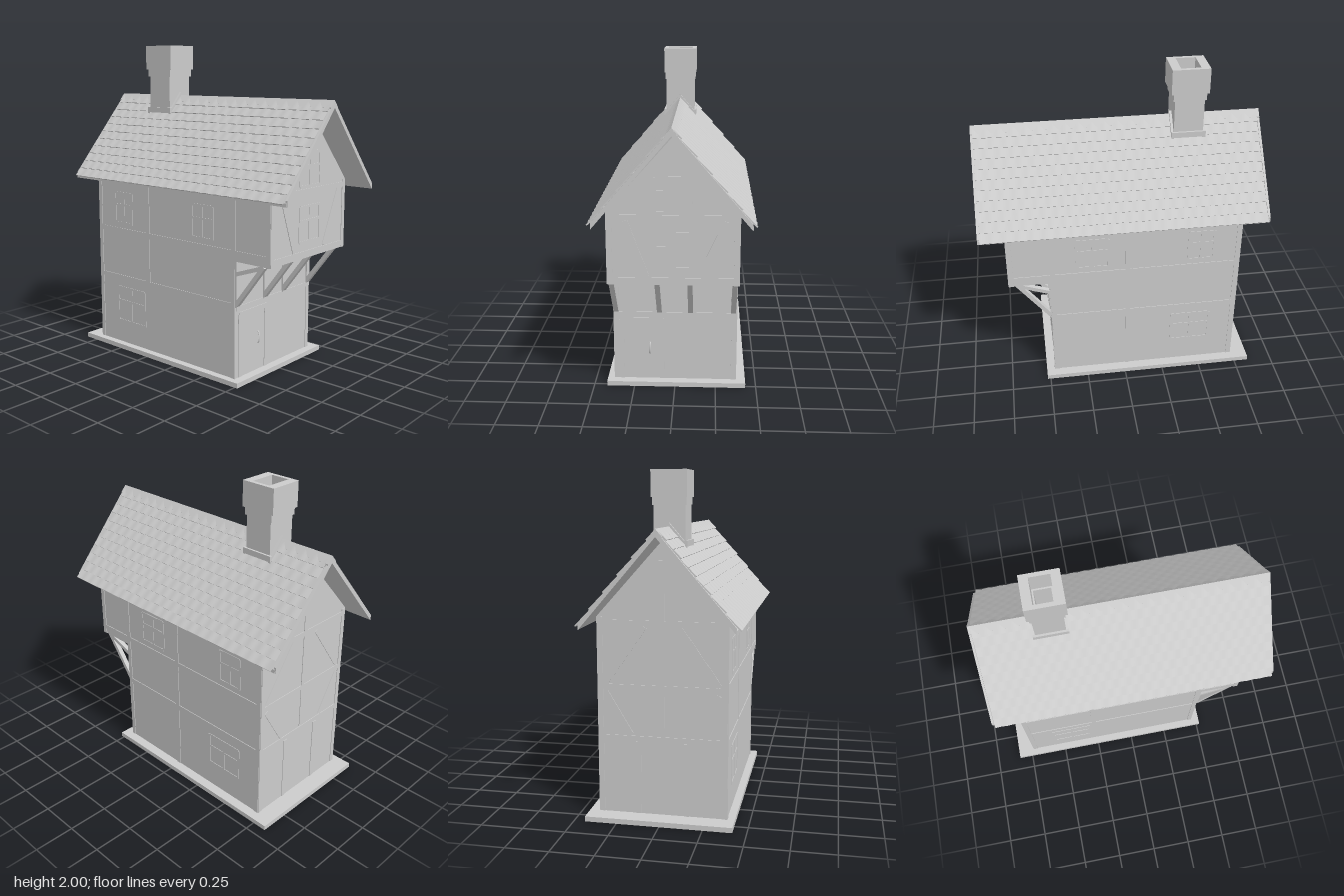
import * as THREE from 'three';
import { mergeGeometries } from 'three/addons/utils/BufferGeometryUtils.js';

const mat = new THREE.MeshStandardMaterial({ color: 0xcccccc });
const SLOPE = 1.165;
const ANGLE = Math.atan(SLOPE);

function add(parent, name, geo) {
  const mesh = new THREE.Mesh(geo, mat);
  mesh.name = name;
  parent.add(mesh);
  return mesh;
}

function box(x0, x1, y0, y1, z0, z1) {
  return new THREE.BoxGeometry(x1 - x0, y1 - y0, z1 - z0)
    .translate((x0 + x1) / 2, (y0 + y1) / 2, (z0 + z1) / 2);
}

// Symmetric [z, y] profile swept along x
function prism(points, x0, x1) {
  const shape = new THREE.Shape(points.map(([z, y]) => new THREE.Vector2(z, y)));
  return new THREE.ExtrudeGeometry(shape, { depth: x1 - x0, bevelEnabled: false })
    .rotateY(Math.PI / 2).translate(x0, 0, 0);
}

// Folded slab following the roof pitch
function saddle(top, thick, half, x0, x1) {
  const e = top - SLOPE * half;
  return prism([[-half, e], [-half, e - thick], [0, top - thick], [half, e - thick], [half, e], [0, top]], x0, x1);
}

// Rectangular sleeve, open at both ends
function sleeve(hx, hz, ix, iz, y0, y1) {
  const rect = (C, a, b) => new C([[-a, -b], [a, -b], [a, b], [-a, b]].map(p => new THREE.Vector2(...p)));
  const shape = rect(THREE.Shape, hx, hz);
  shape.holes.push(rect(THREE.Path, ix, iz));
  return new THREE.ExtrudeGeometry(shape, { depth: y1 - y0, bevelEnabled: false })
    .rotateX(-Math.PI / 2).translate(0, y0, 0);
}

// Bar between two points in the xy plane
function bar(x0, y0, x1, y1, w, depth) {
  return new THREE.BoxGeometry(Math.hypot(x1 - x0, y1 - y0), w, depth)
    .rotateZ(Math.atan2(y1 - y0, x1 - x0)).translate((x0 + x1) / 2, (y0 + y1) / 2, 0);
}

// Timbers [u0, v0, u1, v1] and windows [u0, v0, u1, v1] lying on one wall
function timberFrame(parent, name, pos, rotY, beams, windows = []) {
  const bars = beams.map(b => bar(...b, 0.03, 0.008));
  for (const [a, b, c, d] of windows) {
    const m = (a + c) / 2, t = b + (d - b) * 0.6;
    for (const l of [[a, b, c, b], [a, d, c, d], [a, b, a, d], [c, b, c, d], [m, b, m, d], [a, t, c, t]]) {
      bars.push(bar(...l, 0.014, 0.006));
    }
  }
  const frame = add(parent, name, mergeGeometries(bars));
  frame.position.set(...pos);
  frame.rotation.y = rotY;
}

export function createModel() {
  const house = new THREE.Group();
  house.name = 'timberHouse';

  // Plinth and walls
  add(house, 'basePlate', box(-0.84, 0.52, 0, 0.03, -0.435, 0.42));
  add(house, 'lowerWalls', box(-0.73, 0.465, 0.03, 0.75, -0.375, 0.375));
  add(house, 'upperWalls', prism(
    [[-0.375, 0.75], [0.375, 0.75], [0.375, 1.185], [0, 1.605], [-0.375, 1.185]], -0.73, 0.72));

  // Shallow timber framing and windows
  timberFrame(house, 'frontFraming', [0, 0, 0.375], 0, [
    [-0.73, 0.48, 0.465, 0.48], [-0.73, 0.8, 0.72, 0.8],
    [-0.263, 0.48, -0.263, 1.15], [-0.715, 0.03, -0.715, 1.18],
    [0.45, 0.03, 0.45, 1.18], [0.705, 0.75, 0.705, 1.18],
  ], [[-0.57, 0.85, -0.41, 1.05], [0.12, 0.85, 0.29, 1.05], [-0.555, 0.18, -0.3, 0.41]]);
  timberFrame(house, 'backFraming', [0, 0, -0.375], Math.PI, [
    [-0.465, 0.48, 0.73, 0.48], [-0.72, 0.8, 0.73, 0.8],
    [0.02, 0.03, 0.02, 1.18], [0.715, 0.03, 0.715, 1.18],
    [-0.45, 0.03, -0.45, 1.18], [-0.705, 0.75, -0.705, 1.18],
  ], [[-0.3, 0.85, -0.1, 1.05], [0.4, 0.85, 0.56, 1.05], [0.31, 0.2, 0.56, 0.41]]);
  timberFrame(house, 'leftGableFraming', [0.72, 0, 0], Math.PI / 2, [
    [-0.36, 0.75, -0.36, 1.18], [0.36, 0.75, 0.36, 1.18], [-0.36, 0.78, 0.36, 0.78],
    [-0.36, 1.15, 0.36, 1.15], [-0.27, 1.13, -0.15, 0.8], [0.15, 0.8, 0.3, 1.13],
  ], [[-0.1, 0.85, 0.1, 1.06], [-0.1, 1.18, 0.1, 1.38]]);
  timberFrame(house, 'rightGableFraming', [-0.73, 0, 0], -Math.PI / 2, [
    [-0.36, 0.03, -0.36, 1.18], [0.36, 0.03, 0.36, 1.18], [-0.36, 0.48, 0.36, 0.48],
    [-0.36, 0.78, 0.36, 0.78], [-0.36, 1.15, 0.36, 1.15], [0, 0.5, 0, 1.5],
    [-0.33, 0.75, -0.18, 0.5], [0.18, 0.5, 0.33, 0.75],
    [-0.33, 0.8, -0.1, 1.13], [0.1, 1.13, 0.33, 0.8],
    [-0.14, 0.03, -0.14, 0.46], [0.14, 0.03, 0.14, 0.46],
  ]);

  // Door with frame and pull handle under the jetty
  timberFrame(house, 'doorFrame', [0.465, 0, 0], Math.PI / 2, [
    [-0.33, 0.03, -0.33, 0.42], [-0.08, 0.03, -0.08, 0.42], [-0.34, 0.42, -0.07, 0.42],
    [0.36, 0.03, 0.36, 0.75], [-0.36, 0.46, 0.36, 0.46],
  ]);
  const handle = add(house, 'doorHandle', new THREE.TorusGeometry(0.035, 0.006, 8, 16, Math.PI));
  handle.rotation.z = -Math.PI / 2;
  handle.scale.y = 0.35;
  handle.position.set(0.465, 0.235, 0.155);

  // Jetty brackets
  for (const z of [0.36, 0.095, -0.095, -0.355]) {
    const bracket = new THREE.Group();
    bracket.name = 'jettyBracket';
    bracket.position.z = z;
    add(bracket, 'wallPost', box(0.464, 0.475, 0.47, 0.75, -0.015, 0.015));
    add(bracket, 'longBrace', bar(0.467, 0.485, 0.67, 0.75, 0.026, 0.03));
    add(bracket, 'shortBrace', bar(0.467, 0.673, 0.66, 0.742, 0.024, 0.03));
    house.add(bracket);
  }

  // Roof deck, ridge cap and verge boards
  add(house, 'roofDeck', saddle(1.66, 0.022, 0.44, -0.875, 0.87));
  add(house, 'ridgeCap', saddle(1.69, 0.03, 0.035, -0.88, 0.875)).position.y = -0.01;
  for (const x of [-0.88, 0.863]) add(house, 'vergeBoard', saddle(1.672, 0.036, 0.438, x, x + 0.014));

  // Overlapping courses of gently rolled tiles
  const rows = 11, pitch = 0.688 / rows;
  const courses = [];
  for (const side of [1, -1]) {
    for (let i = 0; i < rows; i++) {
      const g = new THREE.BoxGeometry(1.725, 0.008, pitch + 0.012, 88, 1, 1);
      const p = g.attributes.position;
      for (let k = 0; k < p.count; k++) {
        p.setY(k, p.getY(k) + 0.002 * Math.cos(p.getX(k) * Math.PI * 2 / 0.0784 + i * Math.PI));
      }
      g.computeVertexNormals();
      const d = (i + 0.5) * pitch + 0.006;
      g.rotateX(side * (ANGLE - 0.08));
      g.translate(0, 1.672 - d * Math.sin(ANGLE), side * (d * Math.cos(ANGLE) + 0.002));
      courses.push(g);
    }
  }
  add(house, 'roofTiles', mergeGeometries(courses));

  // Hollow chimney stack
  const chimney = new THREE.Group();
  chimney.name = 'chimney';
  chimney.position.x = -0.425;
  add(chimney, 'stack', sleeve(0.09, 0.093, 0.05, 0.07, 1.57, 1.8));
  add(chimney, 'collar', sleeve(0.1, 0.099, 0.05, 0.07, 1.8, 1.845));
  add(chimney, 'cap', sleeve(0.114, 0.105, 0.06, 0.08, 1.845, 2));
  for (const s of [-1, 1]) {
    const x = s * 0.097;
    add(chimney, 'sideFlashing', saddle(1.7, 0.05, 0.103, x - 0.008, x + 0.008));
    add(chimney, 'apronFlashing', box(-0.105, 0.105, 1.565, 1.6, s * 0.098 - 0.008, s * 0.098 + 0.008));
  }
  house.add(chimney);

  return house;
}
